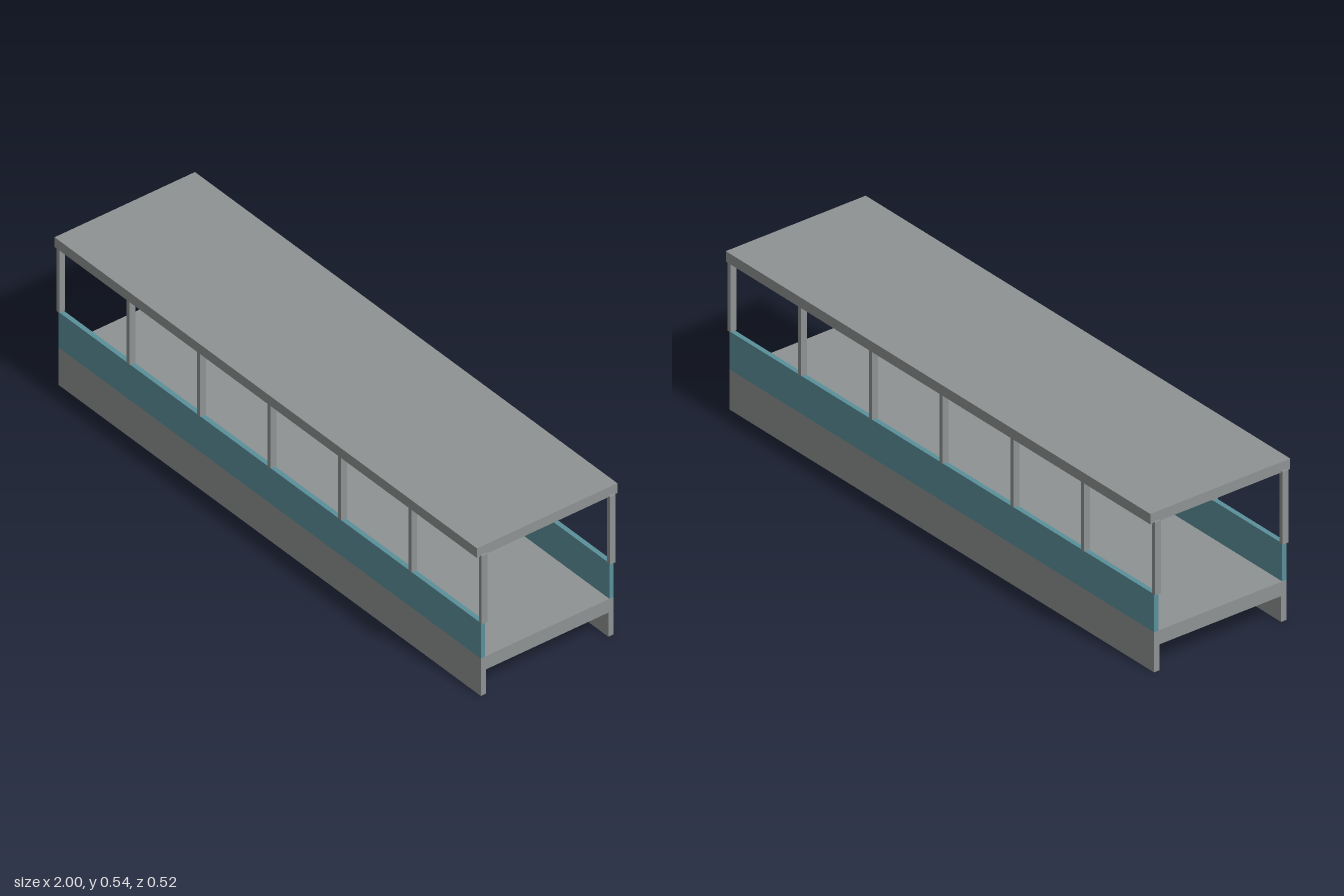
import * as THREE from 'three';

export function createModel() {
  const group = new THREE.Group();
  const grey = new THREE.MeshStandardMaterial({ name: 'grey steel', color: 0x8e9292 });
  const teal = new THREE.MeshStandardMaterial({ name: 'teal panel', color: 0x5a909b });

  // Box given by its size, bottom height and centre in x and z
  function box(name, material, [w, h, d], x, bottom, z) {
    const mesh = new THREE.Mesh(new THREE.BoxGeometry(w, h, d), material);
    mesh.name = name;
    mesh.position.set(x, bottom + h / 2, z);
    group.add(mesh);
  }

  const length = 1.986;
  box('roof', grey, [length, 0.035, 0.524], 0, 0.503, 0);
  box('deck', grey, [length, 0.048, 0.456], 0, 0.087, 0);

  for (const side of [1, -1]) {
    const sideName = side > 0 ? 'front' : 'back';
    // Girder below the deck edge, with the parapet panel standing on it
    box(sideName + 'Girder', grey, [length, 0.135, 0.02], 0, 0, side * 0.238);
    box(sideName + 'Panel', teal, [length, 0.128, 0.016], 0, 0.135, side * 0.24);

    // Evenly spaced posts carrying the roof
    for (let i = 0; i < 7; i++) {
      box(sideName + 'Post' + (i + 1), grey, [0.014, 0.245, 0.022], -0.993 + i * 0.331, 0.263, side * 0.239);
    }
  }
  return group;
}
